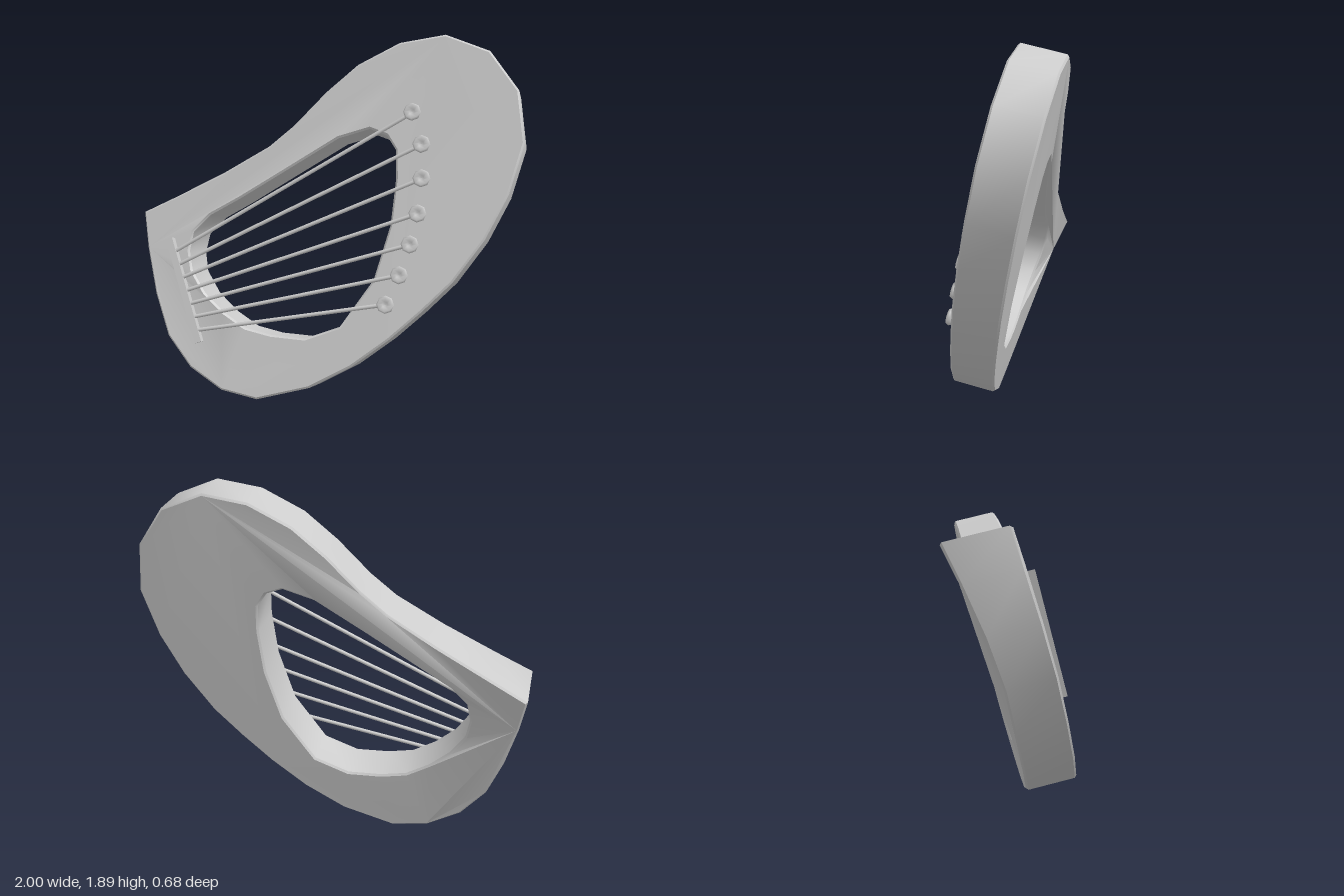
import * as THREE from 'three';
import { toCreasedNormals } from 'three/addons/utils/BufferGeometryUtils.js';

const TILT = 0.242, DEPTH = 0.235, BEVEL = 0.01;
const material = new THREE.MeshStandardMaterial({ color: 0xcccccc });
material.name = 'plain grey';

// Heights are given upright; stretch them along the leaning front plane
const onPlane = ([x, y]) => new THREE.Vector2(x, y / Math.cos(TILT));

const OUTLINE = [
  [-1, 0.97], [-0.96, 0.785], [-0.89, 0.55], [-0.8, 0.34], [-0.665, 0.19], [-0.485, 0.09],
  [-0.29, 0.06], [-0.015, 0.14], [0.195, 0.26], [0.38, 0.405], [0.535, 0.55], [0.68, 0.7],
  [0.825, 0.91], [0.93, 1.13], [0.995, 1.38], [0.955, 1.63], [0.805, 1.82], [0.58, 1.9],
  [0.35, 1.86], [0.14, 1.75], [-0.02, 1.61], [-0.18, 1.44], [-0.31, 1.33], [-0.55, 1.19],
  [-0.82, 1.055],
];
const OPENING = [
  [-0.7, 0.88], [-0.61, 0.97], [-0.45, 1.06], [-0.21, 1.21], [0.06, 1.38], [0.22, 1.43],
  [0.31, 1.4], [0.36, 1.33], [0.37, 1.19], [0.355, 0.96], [0.285, 0.69], [0.125, 0.45],
  [-0.055, 0.38], [-0.235, 0.385], [-0.375, 0.41], [-0.5, 0.48], [-0.61, 0.57], [-0.69, 0.68],
  [-0.715, 0.78],
];
const PEGS = [
  [0.44, 1.51], [0.495, 1.355], [0.505, 1.19], [0.495, 1.02], [0.465, 0.87], [0.42, 0.72], [0.36, 0.575],
];

function add(parent, geometry, name) {
  const mesh = new THREE.Mesh(geometry, material);
  mesh.name = name;
  parent.add(mesh);
  return mesh;
}

// Bevelled frame, swept backwards and thickened towards its pointed corner
function frameGeometry() {
  const shape = new THREE.Shape(OUTLINE.map(onPlane));
  shape.holes.push(new THREE.Path(OPENING.map(onPlane)));
  const geometry = new THREE.ExtrudeGeometry(shape, {
    depth: DEPTH - 2 * BEVEL, bevelEnabled: true, bevelSegments: 1,
    bevelSize: BEVEL, bevelThickness: BEVEL, bevelOffset: -BEVEL,
  });
  geometry.translate(0, 0, BEVEL - DEPTH);
  const p = geometry.attributes.position;
  for (let i = 0; i < p.count; i++) {
    const x = p.getX(i), y = p.getY(i) * Math.cos(TILT), z = p.getZ(i);
    const t = Math.max(0, (0.6 * y - x - 1) / 0.58) ** 1.5;
    const back = -z / DEPTH;
    p.setZ(i, z - t * (0.025 + 0.09 * back));
  }
  return toCreasedNormals(geometry, 0.65);
}

// Turned peg with a dished head, pointing out of the front plane
function pegGeometry() {
  const profile = [
    [0, -0.01], [0.014, -0.01], [0.016, 0.022], [0.04, 0.03], [0.045, 0.042],
    [0.036, 0.056], [0.014, 0.046], [0, 0.044],
  ].map(([r, h]) => new THREE.Vector2(r, h));
  return new THREE.LatheGeometry(profile, 8).rotateX(Math.PI / 2);
}

function addRod(parent, from, to, radius, name) {
  const direction = to.clone().sub(from);
  const rod = add(parent, new THREE.CylinderGeometry(radius, radius, direction.length(), 8), name);
  rod.position.copy(from).add(to).multiplyScalar(0.5);
  rod.quaternion.setFromUnitVectors(new THREE.Vector3(0, 1, 0), direction.normalize());
}

export function createModel() {
  const model = new THREE.Group();
  model.name = 'lyre';
  const body = new THREE.Group();
  body.name = 'leaningBody';
  body.rotation.x = -TILT;
  body.position.z = 0.358;
  model.add(body);

  add(body, frameGeometry(), 'frame');

  // Bridge bar
  const top = onPlane([-0.82, 0.835]), bottom = onPlane([-0.617, 0.32]);
  const bar = bottom.clone().sub(top);
  const bridge = add(body, new THREE.BoxGeometry(0.036, bar.length(), 0.045), 'bridge');
  bridge.position.set((top.x + bottom.x) / 2, (top.y + bottom.y) / 2, 0.007);
  bridge.rotation.z = Math.atan2(bar.x, -bar.y);

  // Strings fan out from the bridge to the pegs
  const peg = pegGeometry();
  PEGS.forEach((point, i) => {
    const t = i / (PEGS.length - 1);
    const start = onPlane([-0.79 + 0.155 * t, 0.77 - 0.39 * t]);
    const end = onPlane(point);
    addRod(body, new THREE.Vector3(start.x, start.y, 0.016),
      new THREE.Vector3(end.x, end.y, 0.02), 0.01, 'string' + (i + 1));
    add(body, peg, 'peg' + (i + 1)).position.set(end.x, end.y, 0);
  });
  return model;
}
